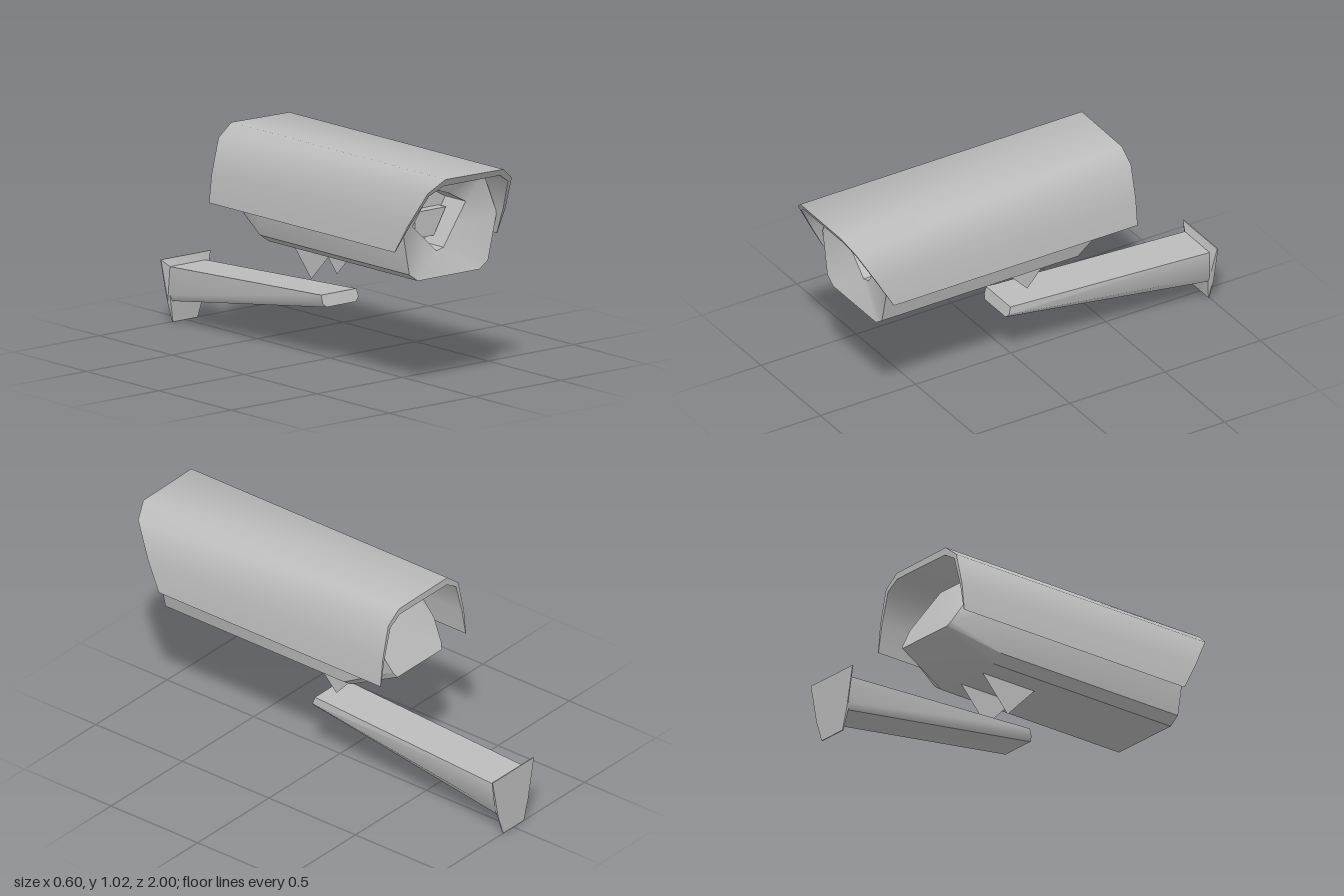
import * as THREE from 'three';
import { toCreasedNormals } from 'three/addons/utils/BufferGeometryUtils.js';

// Skin a series of cross-sections (points counter-clockwise from the front).
// Each section is { pts: [[x, y], ...], z: number or function of y }.
function loft(sections, { closed = true, capStart = false, capEnd = false, crease = 0.6 } = {}) {
  const n = sections[0].pts.length;
  const pos = [], idx = [];
  const zAt = (s, y) => (typeof s.z === 'function' ? s.z(y) : s.z);
  for (const s of sections) for (const [x, y] of s.pts) pos.push(x, y, zAt(s, y));
  const spans = closed ? n : n - 1;
  for (let s = 0; s < sections.length - 1; s++) {
    for (let i = 0; i < spans; i++) {
      const a = s * n + i, b = s * n + (i + 1) % n;
      idx.push(a, b, a + n, b, b + n, a + n);
    }
  }
  const cap = (s, front) => {
    const { pts } = sections[s];
    const cx = pts.reduce((t, p) => t + p[0], 0) / n;
    const cy = pts.reduce((t, p) => t + p[1], 0) / n;
    const c = pos.length / 3;
    pos.push(cx, cy, zAt(sections[s], cy));
    for (let i = 0; i < n; i++) {
      const a = s * n + i, b = s * n + (i + 1) % n;
      if (front) idx.push(c, a, b); else idx.push(c, b, a);
    }
  };
  if (capStart) cap(0, false);
  if (capEnd) cap(sections.length - 1, true);
  const g = new THREE.BufferGeometry();
  g.setAttribute('position', new THREE.Float32BufferAttribute(pos, 3));
  g.setIndex(idx);
  return toCreasedNormals(g, crease);
}

export function createModel() {
  const model = new THREE.Group();
  model.name = 'securityCamera';
  const grey = new THREE.MeshStandardMaterial({ color: 0xbcbcbc, side: THREE.DoubleSide });
  grey.name = 'grey metal';
  const add = (name, geometry) => {
    const mesh = new THREE.Mesh(geometry, grey);
    mesh.name = name;
    model.add(mesh);
    return mesh;
  };

  // Sun hood: thin-walled shell with a raked front edge and rims at both ends
  const hoodOuter = [
    [0.3, 0.67], [0.285, 0.8], [0.245, 0.96], [0.17, 1.015],
    [-0.17, 1.02], [-0.245, 0.96], [-0.285, 0.8], [-0.3, 0.67],
  ];
  const hoodInner = [
    [0.297, 0.67], [0.272, 0.8], [0.23, 0.945], [0.165, 0.985],
    [-0.165, 0.985], [-0.23, 0.945], [-0.272, 0.8], [-0.297, 0.67],
  ];
  const rake = y => 1 - (1.02 - y) * 0.57;
  add('sunHood', loft([
    { pts: hoodOuter, z: -0.48 },
    { pts: hoodOuter, z: rake },
    { pts: hoodInner, z: rake },
    { pts: hoodInner, z: -0.48 },
    { pts: hoodOuter, z: -0.48 },
  ], { closed: false, crease: 0.9 }));

  // Housing: wedge-shaped back, straight sides, funnel front and lens recess
  const shell = [
    [0.28, 0.77], [0.2, 0.97], [-0.19, 0.97], [-0.27, 0.77],
    [-0.23, 0.56], [-0.18, 0.525], [0.18, 0.525], [0.23, 0.56],
  ];
  const back = [
    [0.19, 0.77], [0.12, 0.965], [-0.11, 0.965], [-0.19, 0.77],
    [-0.17, 0.67], [-0.155, 0.645], [0.155, 0.645], [0.17, 0.67],
  ];
  const opening = [
    [0.15, 0.83], [0.055, 0.88], [-0.04, 0.93], [-0.16, 0.76],
    [-0.085, 0.69], [-0.02, 0.629], [0.02, 0.639], [0.085, 0.735],
  ];
  add('housing', loft([
    { pts: back, z: y => -0.46 + (y - 0.645) * 0.6 },
    { pts: shell, z: -0.21 },
    { pts: shell, z: 0.82 },
    { pts: opening, z: 0.76 },
    { pts: opening, z: 0.62 },
  ], { capStart: true, capEnd: true }));

  // Lens block inside the recess
  const lens = [[0.11, 0.795], [-0.07, 0.795], [-0.07, 0.675], [0.04, 0.675]];
  add('lens', loft([{ pts: lens, z: 0.61 }, { pts: lens, z: 0.67 }], { capEnd: true }));

  // Pair of triangular mounting ears under the housing
  for (const side of [-1, 1]) {
    const tri = new THREE.Shape([
      new THREE.Vector2(0.19, 0.53), new THREE.Vector2(-0.12, 0.53), new THREE.Vector2(0.04, 0.365),
    ]);
    const ear = add(side > 0 ? 'leftMountEar' : 'rightMountEar', new THREE.ShapeGeometry(tri));
    ear.rotation.y = Math.PI / 2; // shape x runs toward -z
    ear.position.x = side * 0.075;
  }

  // Support arm: shallow at the pivot, deeper at the wall
  const armRoot = [
    [0.105, 0.26], [-0.105, 0.26], [-0.105, 0.13], [-0.09, 0.1], [0.09, 0.1], [0.105, 0.13],
  ];
  const armTip = [
    [0.1, 0.315], [-0.105, 0.315], [-0.105, 0.28], [-0.09, 0.26], [0.085, 0.26], [0.105, 0.28],
  ];
  add('supportArm', loft([
    { pts: armRoot, z: -0.985 },
    { pts: armTip, z: y => 0.08 - (y - 0.26) * 0.3 },
  ], { capEnd: true, crease: 0.9 }));

  // Flared wall plate
  const plate = [
    [0.145, 0.295], [-0.145, 0.295], [-0.105, 0.1], [-0.075, 0], [0.07, 0], [0.105, 0.1],
  ];
  add('wallPlate', loft([
    { pts: plate, z: -1 },
    { pts: plate, z: -0.995 },
    { pts: armRoot, z: -0.98 },
  ], { capStart: true }));

  return model;
}
